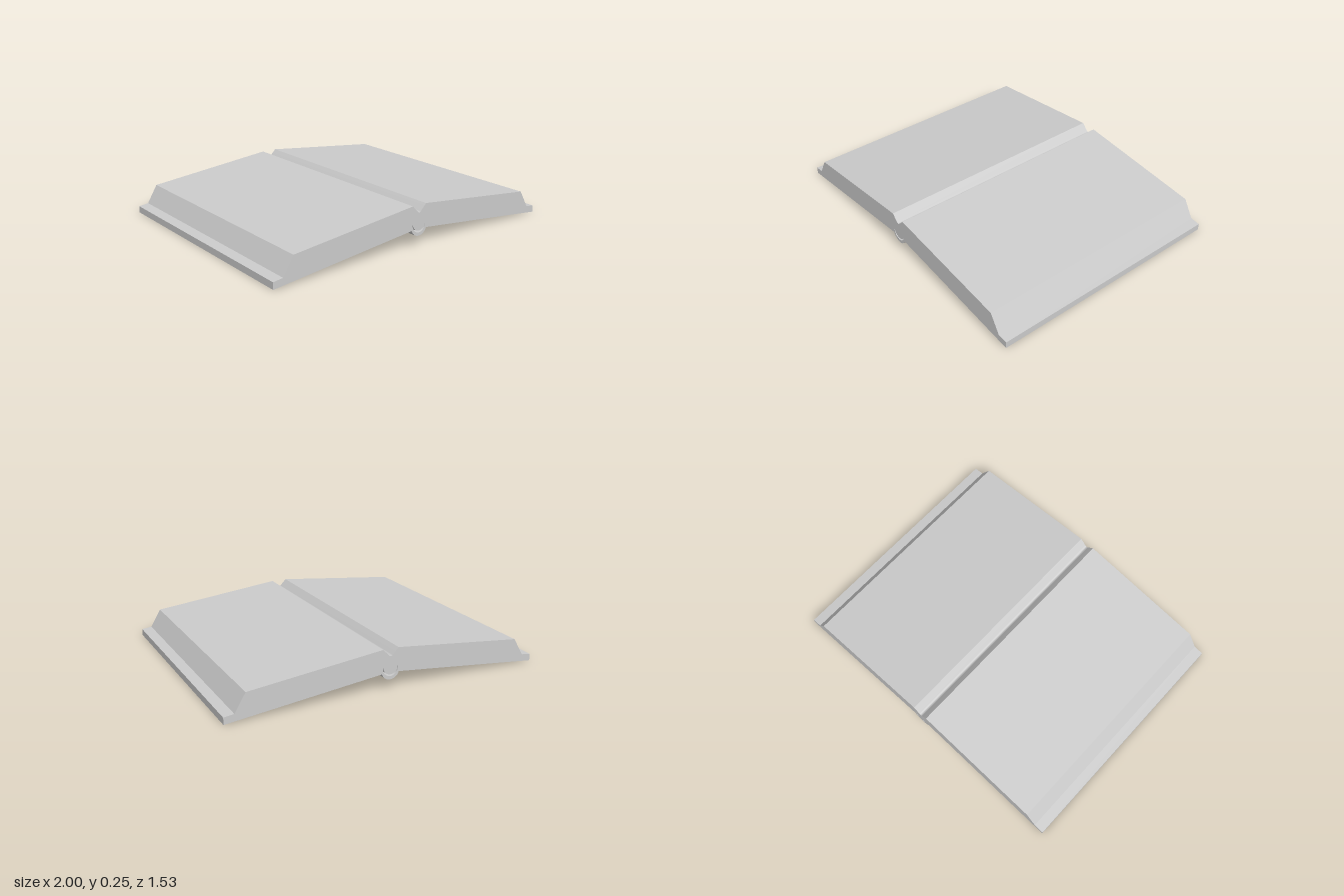
import * as THREE from 'three';
import { toCreasedNormals } from 'three/addons/utils/BufferGeometryUtils.js';

const DEPTH = 1.535;

// Arc through (-w, yEnd), (0, yBottom) and (w, yEnd)
function sagArc(w, yEnd, yBottom) {
  const sag = yEnd - yBottom;
  const r = (w * w + sag * sag) / (2 * sag);
  const cy = yBottom + r;
  return { cy, r, a: Math.atan2(yEnd - cy, w) };
}

export function createModel() {
  const group = new THREE.Group();
  group.name = 'openBook';

  // Cross-section: two sloping halves, V gutter on top, rounded spine below
  const section = new THREE.Shape();
  section.moveTo(1, 0);
  section.lineTo(1, 0.042);
  section.lineTo(0.938, 0.05);   // cover lip
  section.lineTo(0.872, 0.16);   // slanted page edge
  section.lineTo(0.05, 0.25);
  section.lineTo(0.012, 0.211);
  section.quadraticCurveTo(0, 0.197, -0.012, 0.211);
  section.lineTo(-0.05, 0.25);
  section.lineTo(-0.872, 0.16);
  section.lineTo(-0.938, 0.05);
  section.lineTo(-1, 0.042);
  section.lineTo(-1, 0);
  const spine = sagArc(0.055, 0.104, 0.064);
  section.lineTo(-0.055, 0.104);
  section.absarc(0, spine.cy, spine.r, Math.PI - spine.a, 2 * Math.PI + spine.a, false);
  section.closePath();

  // Crescent gap between the page block and the spine
  const outer = sagArc(0.048, 0.14, 0.084);
  const inner = sagArc(0.047, 0.14, 0.095);
  const gap = new THREE.Path();
  gap.absarc(0, outer.cy, outer.r, Math.PI - outer.a, 2 * Math.PI + outer.a, false);
  gap.absarc(0, inner.cy, inner.r, inner.a, -Math.PI - inner.a, true);
  section.holes.push(gap);

  const geometry = new THREE.ExtrudeGeometry(section, {
    depth: DEPTH, bevelEnabled: false, curveSegments: 20,
  });
  geometry.translate(0, 0, -DEPTH / 2);

  const book = new THREE.Mesh(
    toCreasedNormals(geometry, 0.4),
    new THREE.MeshStandardMaterial({ color: 0xcccccc })
  );
  book.name = 'pagesAndCover';
  group.add(book);
  return group;
}
